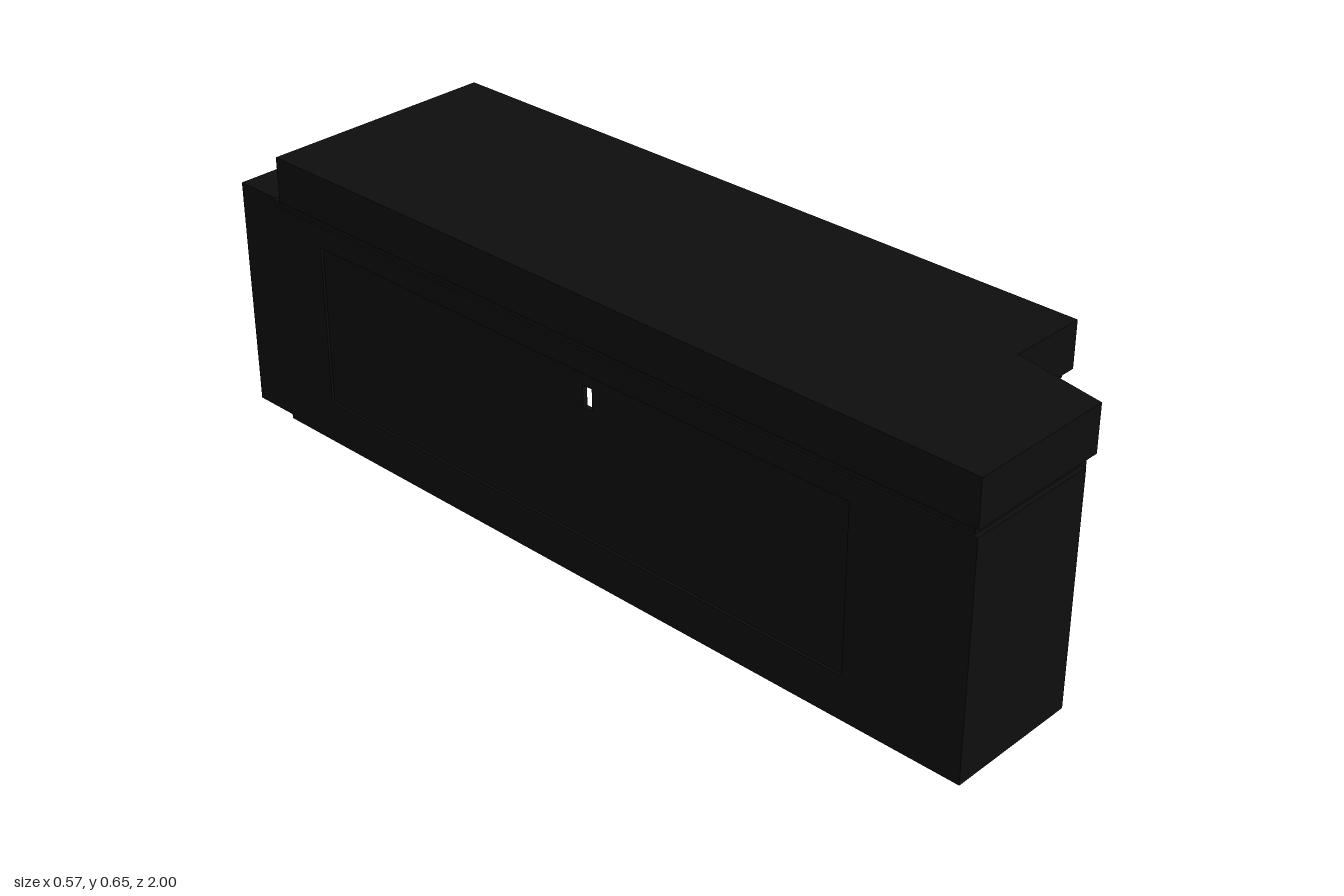
import * as THREE from 'three';

export function createModel() {
  const model = new THREE.Group();
  const black = new THREE.MeshStandardMaterial({ color: 0x0e0e0e });
  black.name = 'matte black';

  const add = (name, geometry) => {
    const mesh = new THREE.Mesh(geometry, black);
    mesh.name = name;
    model.add(mesh);
    return mesh;
  };

  const box = (name, x0, x1, y0, y1, z0, z1) => {
    const g = new THREE.BoxGeometry(x1 - x0, y1 - y0, z1 - z0);
    return add(name, g.translate((x0 + x1) / 2, (y0 + y1) / 2, (z0 + z1) / 2));
  };

  const polygon = (points) => new THREE.Shape(points.map(([a, b]) => new THREE.Vector2(a, b)));
  const rectPath = (z0, z1, y0, y1) => {
    const p = new THREE.Path();
    p.moveTo(-z0, y0).lineTo(-z0, y1).lineTo(-z1, y1).lineTo(-z1, y0).closePath();
    return p;
  };

  // Upright layer across x, with rectangular openings [z0, z1, y0, y1]
  const BACK = -0.89, FRONT = 1, LOW = 0.02, HIGH = 0.53;
  const layer = (name, x0, x1, holes) => {
    const s = polygon([[-FRONT, LOW], [-BACK, LOW], [-BACK, HIGH], [-FRONT, HIGH]]);
    holes.forEach((h) => s.holes.push(rectPath(...h)));
    const g = new THREE.ExtrudeGeometry(s, { depth: x1 - x0, bevelEnabled: false });
    return add(name, g.rotateY(Math.PI / 2).translate(x0, 0, 0));
  };

  // Flat slab from a plan outline in x and z
  const slab = (name, shape, y0, y1) => {
    const g = new THREE.ExtrudeGeometry(shape, { depth: y1 - y0, bevelEnabled: false, curveSegments: 20 });
    return add(name, g.rotateX(Math.PI / 2).translate(0, y1, 0));
  };

  // Hollow body, built as layers from the closed side to the windowed side
  const windows = [[0.17, 0.73, 0.12, 0.43], [-0.6, -0.03, 0.12, 0.43]];
  layer('sidePanelFrame', -0.285, -0.279, [[-0.74, 0.72, 0.1, 0.48]]);
  layer('sidePanel', -0.279, -0.267, [[0.045, 0.07, 0.4, 0.45]]);
  layer('innerWall', -0.267, -0.19, [[-0.08, 0.2, 0.32, 0.48]]);
  layer('cavityWalls', -0.19, 0, [[-0.75, 0.78, 0.12, 0.48]]);
  layer('windowWall', 0, 0.03, windows);

  // Base plate with a round recess near the front
  const base = polygon([[-0.285, BACK], [0.03, BACK], [0.03, FRONT], [-0.285, FRONT]]);
  const recess = new THREE.Path();
  recess.absarc(-0.15, 0.82, 0.095, 0, Math.PI * 2, true);
  base.holes.push(recess);
  slab('basePlate', base, 0, 0.02);

  // Overhanging roof with a slanted cut-out at the front corner
  slab('roof', polygon([[-0.285, -0.87], [0.285, -0.87], [0.285, 0.79], [0.1, 0.79], [0.06, 1], [-0.285, 1]]), 0.545, 0.65);
  slab('roofUnderlayer', polygon([[-0.28, -0.87], [0.28, -0.87], [0.28, 0.77], [0.09, 0.77], [0.045, 0.99], [-0.28, 0.99]]), 0.52, 0.545);

  // Long rounded frame under the overhang
  const stadium = (Type, x0, x1, z0, z1) => {
    const r = (x1 - x0) / 2, c = (x0 + x1) / 2, p = new Type();
    p.absarc(c, z1 - r, r, 0, Math.PI, false);
    p.absarc(c, z0 + r, r, Math.PI, Math.PI * 2, false);
    return p.closePath();
  };
  const track = stadium(THREE.Shape, 0.1, 0.2, -0.6, 0.53);
  track.holes.push(stadium(THREE.Path, 0.112, 0.188, -0.588, 0.518));
  slab('undersideTrack', track, 0.514, 0.52);

  // Full-width rear block
  box('rearBlock', -0.285, 0.285, 0.01, 0.55, -1, -0.885);
  box('rearNeck', -0.28, 0.275, 0.02, 0.54, -0.89, -0.868);

  // Paired clip ribs above and below the windows
  for (const z of [0.84, 0.52, -0.1, -0.52, -0.7]) {
    for (const y of [0.1, 0.125, 0.425, 0.45]) {
      box('clipRib', 0.028, 0.036, y - 0.006, y + 0.006, z - 0.035, z + 0.035);
    }
  }

  // Thin raised surround for each window
  for (const [z0, z1, y0, y1] of windows) {
    for (const y of [y0 - 0.005, y1 + 0.005]) box('windowTrim', 0.028, 0.034, y - 0.005, y + 0.005, z0 - 0.01, z1 + 0.01);
    for (const z of [z0 - 0.005, z1 + 0.005]) box('windowTrim', 0.028, 0.034, y0, y1, z - 0.005, z + 0.005);
  }

  return model;
}
